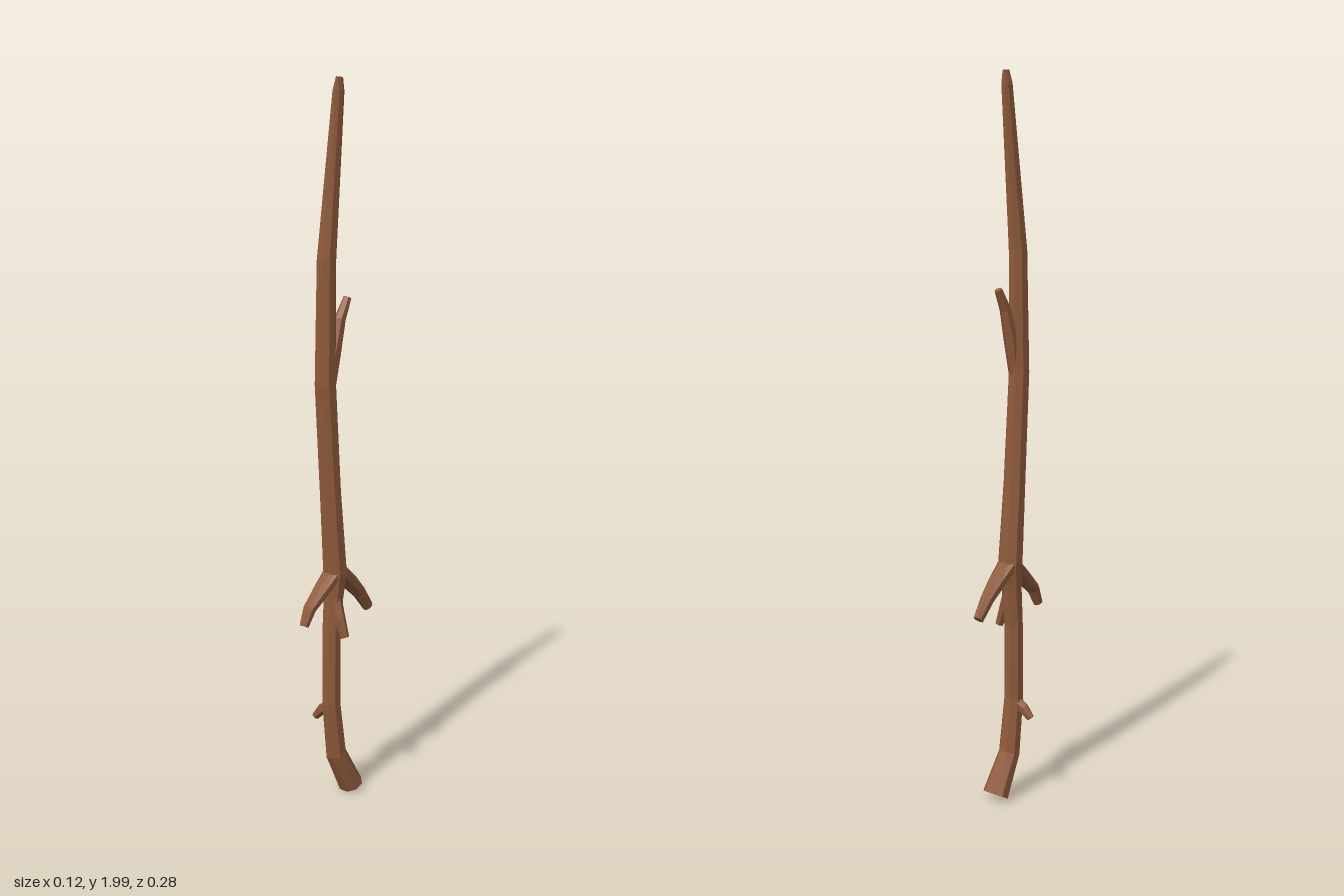
import * as THREE from 'three';

const X = new THREE.Vector3(1, 0, 0), Z = new THREE.Vector3(0, 0, 1);

// Faceted limb skinned over rings [x, y, z, radius, depthRadius]; hollow sinks the first end cap inward
function limb(rings, ref, sides = 8, hollow = 0) {
  const centres = rings.map(r => new THREE.Vector3(r[0], r[1], r[2]));
  const pos = [], index = [], last = rings.length - 1;
  const tangents = centres.map((c, i) => centres[Math.min(i + 1, last)].clone()
    .sub(centres[Math.max(i - 1, 0)]).normalize());
  rings.forEach(([, , , ru, rv = ru], i) => {
    const t = tangents[i];
    const u = ref.clone().addScaledVector(t, -ref.dot(t)).normalize();
    const v = t.clone().cross(u);
    for (let j = 0; j < sides; j++) {
      const a = (j + 0.5) / sides * Math.PI * 2;
      const p = centres[i].clone().addScaledVector(u, Math.cos(a) * ru).addScaledVector(v, Math.sin(a) * rv);
      pos.push(p.x, p.y, p.z);
    }
  });
  const start = (last + 1) * sides, end = start + 1;
  const base = centres[0].clone().addScaledVector(tangents[0], hollow);
  pos.push(...base.toArray(), ...centres[last].toArray());
  for (let j = 0; j < sides; j++) {
    const k = (j + 1) % sides;
    for (let i = 0; i < last; i++) {
      const a = i * sides + j, b = i * sides + k;
      index.push(a, b, a + sides, b, b + sides, a + sides);
    }
    index.push(start, k, j, end, last * sides + j, last * sides + k);
  }
  const g = new THREE.BufferGeometry();
  g.setAttribute('position', new THREE.Float32BufferAttribute(pos, 3));
  g.setIndex(index);
  const flat = g.toNonIndexed();
  flat.computeVertexNormals();
  return flat;
}

export function createModel() {
  const group = new THREE.Group();
  const bark = new THREE.MeshStandardMaterial({ color: 0x8f5a3c });
  bark.name = 'bark brown';
  const add = (name, geometry) => {
    const mesh = new THREE.Mesh(geometry, bark);
    mesh.name = name;
    group.add(mesh);
  };

  // Crooked main stem, flared at the broken foot and chiselled at the tip
  add('stem', limb([
    [0.002, 0.026, -0.055, 0.038, 0.034],
    [0, 0.135, 0.002, 0.03],
    [0, 0.29, 0.021, 0.027],
    [0, 0.5, 0.02, 0.027],
    [0, 0.6, 0.012, 0.029],
    [0, 0.67, 0.006, 0.035],
    [0, 0.9, 0.024, 0.031],
    [0, 1.2, 0.043, 0.028, 0.032],
    [0, 1.53, 0.038, 0.025, 0.029],
    [0.003, 1.965, -0.004, 0.012, 0.019],
    [0.004, 2.0, -0.007, 0.003, 0.013],
  ], X, 8, 0.03));

  // Pair of drooping forks at the knot
  add('frontFork', limb([
    [0, 0.68, 0.0, 0.033, 0.022],
    [0, 0.63, 0.055, 0.026, 0.022],
    [0, 0.585, 0.105, 0.019, 0.018],
    [0, 0.54, 0.127, 0.013, 0.014],
  ], X));
  add('backFork', limb([
    [0, 0.68, 0.005, 0.033, 0.022],
    [0, 0.63, -0.05, 0.026, 0.023],
    [0, 0.59, -0.09, 0.02, 0.019],
    [0, 0.54, -0.127, 0.014, 0.016],
  ], X));

  // Small side twigs
  add('leftTwig', limb([
    [0.002, 0.61, 0.014, 0.02],
    [0.03, 0.54, 0.018, 0.017],
    [0.048, 0.492, 0.016, 0.012],
  ], Z, 6));
  add('rightTwig', limb([
    [0, 0.285, 0.02, 0.018],
    [-0.035, 0.262, 0.024, 0.015],
    [-0.056, 0.238, 0.027, 0.011],
  ], Z, 6));

  // Upper twig hugging the back of the stem
  add('upperTwig', limb([
    [0.003, 1.19, 0.03, 0.017],
    [0.004, 1.28, 0.015, 0.02],
    [0.005, 1.37, -0.008, 0.016],
    [0.005, 1.425, -0.037, 0.011],
  ], X, 6));

  return group;
}
